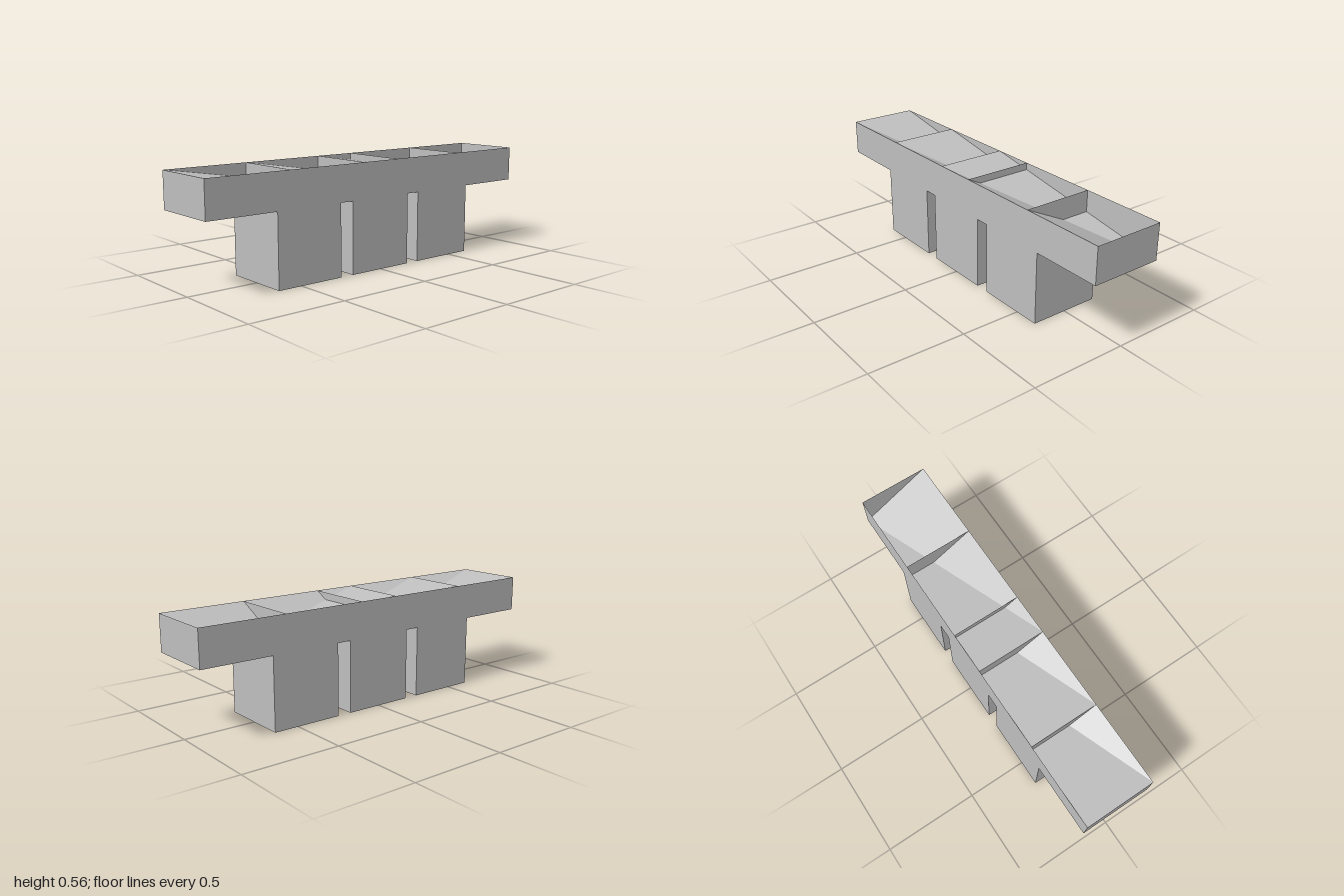
import * as THREE from 'three';

const D = 0.1852;            // half depth, also the thickness of the top bar
const H = 3 * D;             // overall height
const LEG = 2 * D;           // leg height
const RUN = 0.4444;          // length of a short ramp

// Flat-shaded polygon fan, corners counter-clockwise as seen from the front
function polygons(list) {
  const pos = [];
  for (const p of list) {
    for (let i = 1; i < p.length - 1; i++) pos.push(...p[0], ...p[i], ...p[i + 1]);
  }
  const g = new THREE.BufferGeometry();
  g.setAttribute('position', new THREE.Float32BufferAttribute(pos, 3));
  g.computeVertexNormals();
  return g;
}

// Bar with three square legs, extruded from its silhouette, open on top
function bodyGeometry() {
  const s = new THREE.Shape();
  s.moveTo(-1, H);
  s.lineTo(-1, LEG);
  for (const c of [-0.4444, 0, 0.4444]) {
    s.lineTo(c - D, LEG);
    s.lineTo(c - D, 0);
    s.lineTo(c + D, 0);
    s.lineTo(c + D, LEG);
  }
  s.lineTo(1, LEG);
  s.lineTo(1, H);
  s.closePath();
  const full = new THREE.ExtrudeGeometry(s, { depth: 2 * D, bevelEnabled: false }).translate(0, 0, -D);
  const p = full.getAttribute('position');
  const faces = [];
  for (let i = 0; i < p.count; i += 3) {
    const tri = [0, 1, 2].map(k => [p.getX(i + k), p.getY(i + k), p.getZ(i + k)]);
    if (!tri.every(v => v[1] > H - 1e-4)) faces.push(tri);
  }
  return polygons(faces);
}

// Ramp depth grows by 1/6 along x; the front bank falls 1/2 toward the back
const drop = (x0, x) => (x - x0) / 6;
const bankZ = d => D - 2 * d;

// Upright plate filling the ramp's cross-section at x
function plate(x0, x) {
  const d = drop(x0, x);
  return [[x, H, D], [x, H, -D], [x, H - d, -D], [x, H - d, bankZ(d)]];
}

// Sloping floor with a triangular bank along the front edge
function rampGeometry(x0, x1) {
  const d = drop(x0, x1), z = bankZ(d);
  return polygons([
    [[x0, H, -D], [x0, H, D], [x1, H - d, z], [x1, H - d, -D]],
    [[x0, H, D], [x1, H, D], [x1, H - d, z]],
  ]);
}

export function createModel() {
  const gray = new THREE.MeshStandardMaterial({ color: 0xbfbfbf, side: THREE.DoubleSide });
  gray.name = 'light gray';
  const group = new THREE.Group();
  group.name = 'rampBlock';
  const add = (name, geometry) => {
    const m = new THREE.Mesh(geometry, gray);
    m.name = name;
    group.add(m);
  };

  add('body', bodyGeometry());

  // Two short ramps and one long one
  const a = -1 + RUN, b = a + RUN;
  add('firstRamp', rampGeometry(-1, a));
  add('secondRamp', rampGeometry(a, b));
  add('longRamp', rampGeometry(b, 1));

  // Steps ending the short ramps
  add('firstStep', polygons([plate(-1, a)]));
  add('secondStep', polygons([plate(a, b)]));

  // Dividers standing in the long ramp
  for (const x of [-b, -a]) add('divider', polygons([plate(b, x)]));
  return group;
}
